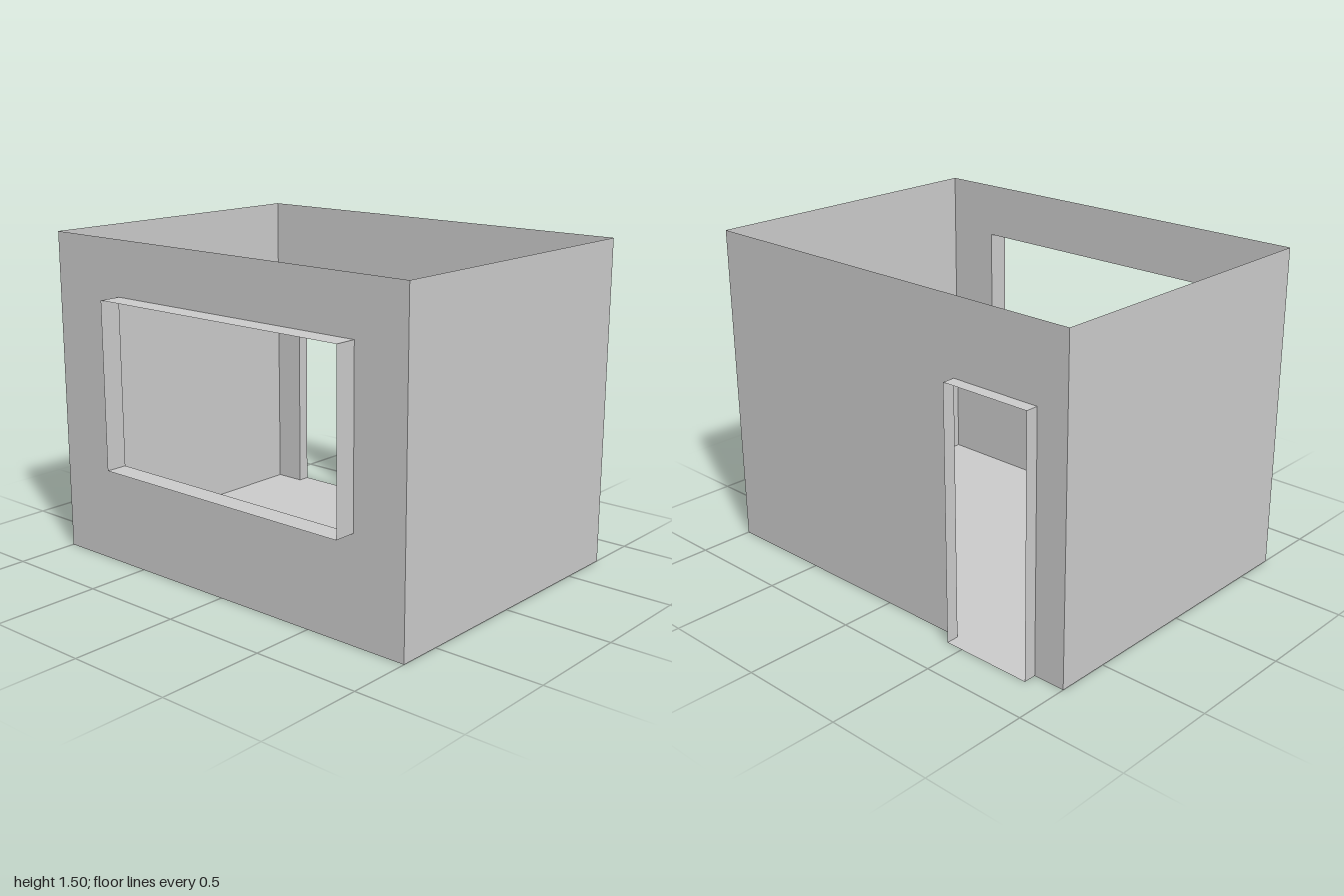
import * as THREE from 'three';

const material = new THREE.MeshStandardMaterial({ color: 0xcccccc, side: THREE.DoubleSide });

const LEFT = 0.746, RIGHT = -0.703, H = 1.5, HALF_DEPTH = 1;
const door = { z0: -0.851, z1: -0.418, y0: 0, y1: 1.16 };
const win = { z0: -0.6, z1: 0.742, y0: 0.475, y1: 1.246 };

// Thin rectangular sheet, turned about x or y, then placed
function sheet(name, w, h, [x, y, z], rotX = 0, rotY = 0) {
  const mesh = new THREE.Mesh(new THREE.PlaneGeometry(w, h), material);
  mesh.name = name;
  mesh.rotation.set(rotX, rotY, 0);
  mesh.position.set(x, y, z);
  return mesh;
}

// Side wall drawn in (z, y) and stood up at the given x
function sideWall(name, x, outline, hole) {
  const toPoints = (list) => list.map(([z, y]) => new THREE.Vector2(z, y));
  const shape = new THREE.Shape(toPoints(outline));
  if (hole) shape.holes.push(new THREE.Path(toPoints(hole)));
  const mesh = new THREE.Mesh(new THREE.ShapeGeometry(shape).rotateY(-Math.PI / 2), material);
  mesh.name = name;
  mesh.position.x = x;
  return mesh;
}

// Open-ended thin surround running outward from an opening
function surround(name, x0, x1, { z0, z1, y0, y1 }) {
  const group = new THREE.Group();
  group.name = name;
  const depth = Math.abs(x1 - x0), x = (x0 + x1) / 2;
  const z = (z0 + z1) / 2, y = (y0 + y1) / 2;
  group.add(
    sheet(name + 'Sill', depth, z1 - z0, [x, y0, z], -Math.PI / 2),
    sheet(name + 'Head', depth, z1 - z0, [x, y1, z], -Math.PI / 2),
    sheet(name + 'BackJamb', depth, y1 - y0, [x, y, z0]),
    sheet(name + 'FrontJamb', depth, y1 - y0, [x, y, z1]),
  );
  return group;
}

export function createModel() {
  const room = new THREE.Group();
  room.name = 'room';
  const width = LEFT - RIGHT, cx = (LEFT + RIGHT) / 2, d = HALF_DEPTH;

  // Floor, front and back walls; the top stays open
  room.add(
    sheet('floor', width, 2 * d, [cx, 0, 0], -Math.PI / 2),
    sheet('frontWall', width, H, [cx, H / 2, d]),
    sheet('backWall', width, H, [cx, H / 2, -d], 0, Math.PI),
  );

  // Left wall with a doorway notched up from the floor
  room.add(sideWall('doorWall', LEFT, [
    [-d, 0], [door.z0, 0], [door.z0, door.y1], [door.z1, door.y1],
    [door.z1, 0], [d, 0], [d, H], [-d, H],
  ]));

  // Right wall with a wide window
  room.add(sideWall('windowWall', RIGHT,
    [[-d, 0], [d, 0], [d, H], [-d, H]],
    [[win.z0, win.y0], [win.z0, win.y1], [win.z1, win.y1], [win.z1, win.y0]]));

  // Projecting surrounds
  room.add(surround('doorSurround', LEFT, 0.805, door));
  room.add(surround('windowSurround', RIGHT, -0.805, win));
  return room;
}
